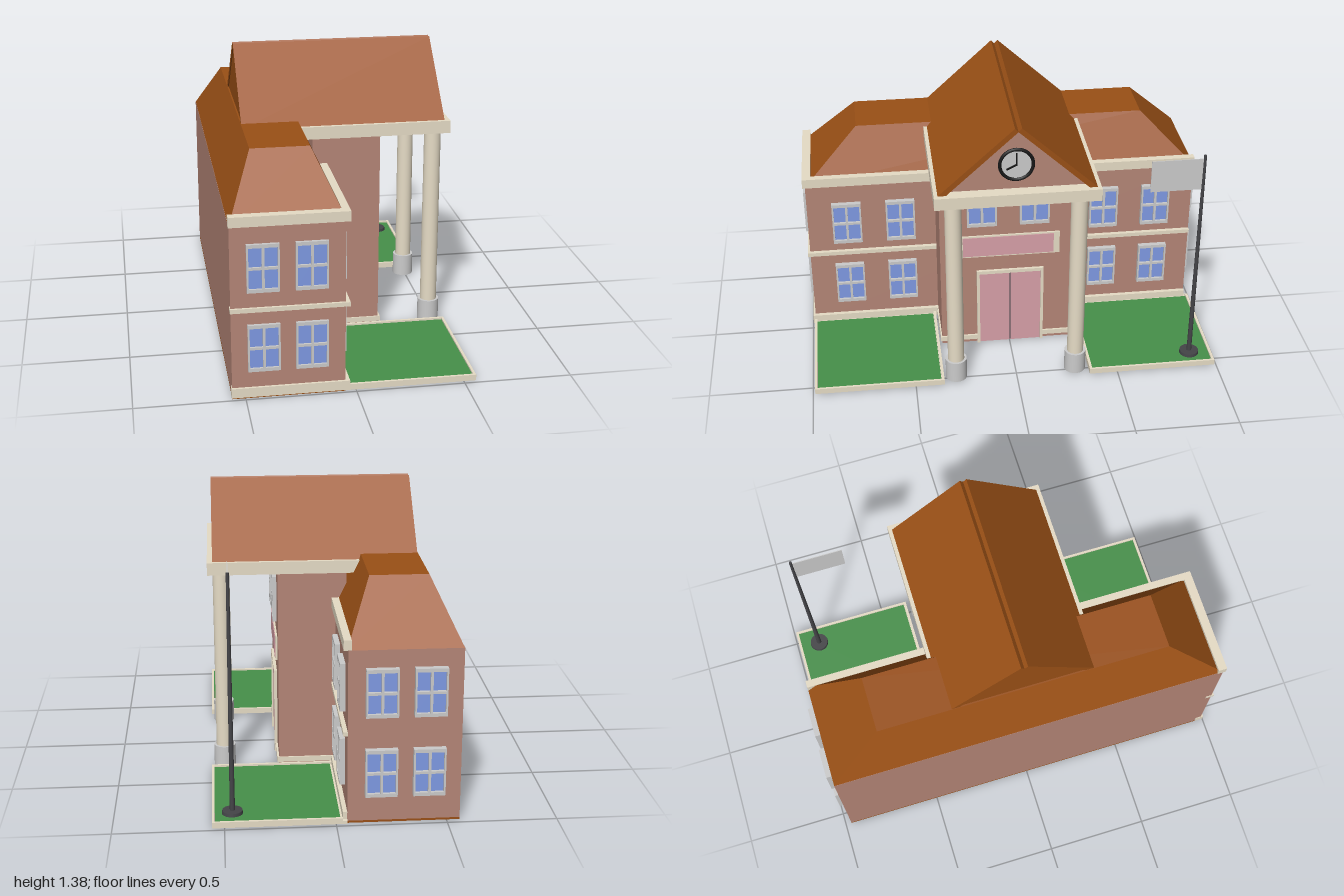
import * as THREE from 'three';

const mat = (color) => new THREE.MeshStandardMaterial({ color });
const brick = mat(0xb58677), roofBrown = mat(0x9a5016), cream = mat(0xe6dcc6), grey = mat(0xcccccc);
const blue = mat(0x7f9ae4), pink = mat(0xd8a0a8), green = mat(0x47904a), dark = mat(0x444448), black = mat(0x161616);

export function createModel() {
  const model = new THREE.Group();
  model.name = 'schoolhouse';

  const add = (name, geometry, material, parent = model) => {
    const mesh = new THREE.Mesh(geometry, material);
    mesh.name = name;
    parent.add(mesh);
    return mesh;
  };
  // Box given by its limits on each axis
  const box = (name, material, [x0, x1], [y0, y1], [z0, z1], parent = model) => {
    const g = new THREE.BoxGeometry(x1 - x0, y1 - y0, z1 - z0);
    g.translate((x0 + x1) / 2, (y0 + y1) / 2, (z0 + z1) / 2);
    return add(name, g, material, parent);
  };
  const cylinder = (name, material, rTop, rBottom, y0, y1, x, z, sides = 32) => {
    const g = new THREE.CylinderGeometry(rTop, rBottom, y1 - y0, sides);
    g.translate(x, (y0 + y1) / 2, z);
    return add(name, g, material);
  };
  // Outline of [z, y] points extruded along x
  const extrudeX = (name, material, points, x0, x1) => {
    const shape = new THREE.Shape(points.map(([z, y]) => new THREE.Vector2(-z, y)));
    const g = new THREE.ExtrudeGeometry(shape, { depth: x1 - x0, bevelEnabled: false });
    g.rotateY(Math.PI / 2).translate(x0, 0, 0);
    return add(name, g, material);
  };
  const rect = (target, x0, y0, x1, y1) =>
    target.moveTo(x0, y0).lineTo(x1, y0).lineTo(x1, y1).lineTo(x0, y1).closePath();

  // Walls
  box('foundation', roofBrown, [-0.56, -0.05], [0, 0.01], [-0.97, 0.985]);
  box('mainWalls', brick, [-0.56, -0.05], [0.01, 0.82], [-0.97, 0.985]);
  box('entranceBlock', brick, [-0.1, 0.225], [0.01, 1.0], [-0.34, 0.345]);

  // Trim bands along the facade and the left end
  for (const [name, y0, y1] of [['baseTrim', 0.01, 0.055], ['middleTrim', 0.42, 0.44], ['corniceTrim', 0.82, 0.867]]) {
    box(name, cream, [-0.065, -0.03], [y0, y1], [0.34, 0.997]);
    box(name, cream, [-0.065, -0.03], [y0, y1], [-0.97, -0.335]);
    box(name, cream, [-0.563, -0.03], [y0, y1], [0.955, 0.997]);
  }
  for (const s of [-1, 1]) {
    box('entranceBaseTrim', cream, [0.2, 0.235], [0.03, 0.055], s > 0 ? [0.16, 0.352] : [-0.348, -0.16]);
    box('entranceSideTrim', cream, [-0.05, 0.235], [0.03, 0.055], s > 0 ? [0.33, 0.352] : [-0.348, -0.33]);
  }

  // Hipped main roof: a box with its top pulled in
  const hip = new THREE.BoxGeometry(1, 1, 1);
  const p = hip.attributes.position;
  for (let i = 0; i < p.count; i++) {
    const top = p.getY(i) > 0, x = Math.sign(p.getX(i)), z = Math.sign(p.getZ(i));
    p.setXYZ(i, -0.302 + x * (top ? 0.135 : 0.257), top ? 1.08 : 0.82, 0.006 + z * (top ? 0.712 : 0.976));
  }
  hip.computeVertexNormals();
  add('mainRoof', hip, roofBrown);

  // Portico slab, gable and its two roof slopes
  box('porticoSlab', cream, [-0.16, 0.555], [1.0, 1.06], [-0.386, 0.386]);
  extrudeX('gableFill', roofBrown, [[-0.335, 1.06], [0.335, 1.06], [0, 1.362]], -0.43, 0.48);
  extrudeX('pediment', brick, [[-0.335, 1.06], [0.335, 1.06], [0, 1.362]], 0.48, 0.495);
  for (const s of [-1, 1]) {
    const outline = [[0.368, 1.06], [0.016, 1.383], [0, 1.365], [0.33, 1.06]].map(([z, y]) => [z * s, y]);
    extrudeX('gableRoofSlope', roofBrown, outline, -0.435, 0.53);
  }

  // Clock
  const clock = new THREE.Group();
  clock.name = 'clock';
  clock.position.set(0.495, 1.187, 0.005);
  clock.rotation.y = Math.PI / 2;
  model.add(clock);
  const face = new THREE.CylinderGeometry(0.078, 0.078, 0.016, 40).rotateX(Math.PI / 2);
  add('clockFace', face, grey, clock);
  add('clockRim', new THREE.TorusGeometry(0.077, 0.008, 10, 40), black, clock).position.z = 0.008;
  box('minuteHand', black, [-0.003, 0.003], [-0.004, 0.06], [0.008, 0.012], clock);
  box('hourHand', black, [-0.004, 0.004], [-0.004, 0.052], [0.008, 0.012], clock).rotation.z = 2.05;

  // Columns
  for (const z of [-0.293, 0.297]) {
    cylinder('column', cream, 0.04, 0.04, 0.1, 1.0, 0.49, z);
    cylinder('columnBase', grey, 0.052, 0.052, 0.005, 0.115, 0.49, z);
  }

  // Four-pane windows, centred on a wall point and facing +z before turning
  const w = 0.145, h = 0.225;
  const frameShape = rect(new THREE.Shape(), -w / 2, -h / 2, w / 2, h / 2);
  for (const x of [-0.064, 0.006]) {
    for (const y of [-0.096, 0.006]) {
      frameShape.holes.push(rect(new THREE.Path(), x, y, x + 0.058, y + 0.09));
    }
  }
  const frameGeometry = new THREE.ExtrudeGeometry(frameShape, { depth: 1, bevelEnabled: false });
  const addWindow = (x, y, z, turn, depth) => {
    const g = new THREE.Group();
    g.name = 'window';
    g.position.set(x, y, z);
    g.rotation.y = turn;
    add('windowFrame', frameGeometry, grey, g).scale.z = depth;
    box('windowGlass', blue, [-0.067, 0.067], [-0.1, 0.1], [0, depth * 0.5], g);
    model.add(g);
  };
  for (const z of [-0.78, -0.513, 0.522, 0.79]) {
    addWindow(-0.05, 0.247, z, Math.PI / 2, 0.025);
    addWindow(-0.05, 0.604, z, Math.PI / 2, 0.025);
  }
  for (const z of [-0.12, 0.138]) addWindow(0.225, 0.818, z, Math.PI / 2, 0.02);
  for (const x of [-0.415, -0.2]) {
    for (const y of [0.247, 0.626]) {
      addWindow(x, y, 0.98, 0, 0.02);
      addWindow(x, y, -0.97, Math.PI, 0.03);
    }
  }

  // Double door in a cream frame
  box('doorFrameTop', cream, [0.22, 0.24], [0.425, 0.442], [-0.168, 0.166]);
  for (const z of [-0.168, 0.152]) box('doorFrameSide', cream, [0.22, 0.24], [0.01, 0.43], [z, z + 0.014]);
  box('doorLeaf', pink, [0.22, 0.231], [0.01, 0.425], [-0.154, -0.004]);
  box('doorLeaf', pink, [0.22, 0.231], [0.01, 0.425], [0.002, 0.152]);
  box('doorGap', dark, [0.22, 0.227], [0.01, 0.425], [-0.004, 0.002]);

  // Blank sign board
  box('signBoard', cream, [0.22, 0.234], [0.525, 0.645], [-0.246, 0.25]);
  box('signPanel', pink, [0.23, 0.237], [0.532, 0.638], [-0.216, 0.233]);

  // Lawns with raised cream borders
  for (const s of [-1, 1]) {
    const span = (a, b) => (s > 0 ? [a, b] : [-b, -a]);
    box('lawnSlab', cream, [-0.05, 0.555], [0.005, 0.02], span(0.36, 0.99));
    box('grass', green, [-0.02, 0.545], [0.02, 0.025], span(0.375, 0.978));
    box('lawnBorder', cream, [0.543, 0.555], [0.02, 0.033], span(0.36, 0.99));
    for (const z of [0.36, 0.977]) box('lawnBorder', cream, [-0.03, 0.555], [0.02, 0.033], span(z, z + 0.013));
  }

  // Flagpole
  cylinder('flagpoleBase', dark, 0.046, 0.048, 0.025, 0.04, 0.463, -0.88);
  cylinder('flagpole', dark, 0.007, 0.012, 0.03, 1.155, 0.463, -0.88, 16);
  box('flag', grey, [0.461, 0.465], [0.975, 1.137], [-0.875, -0.63]);

  return model;
}
